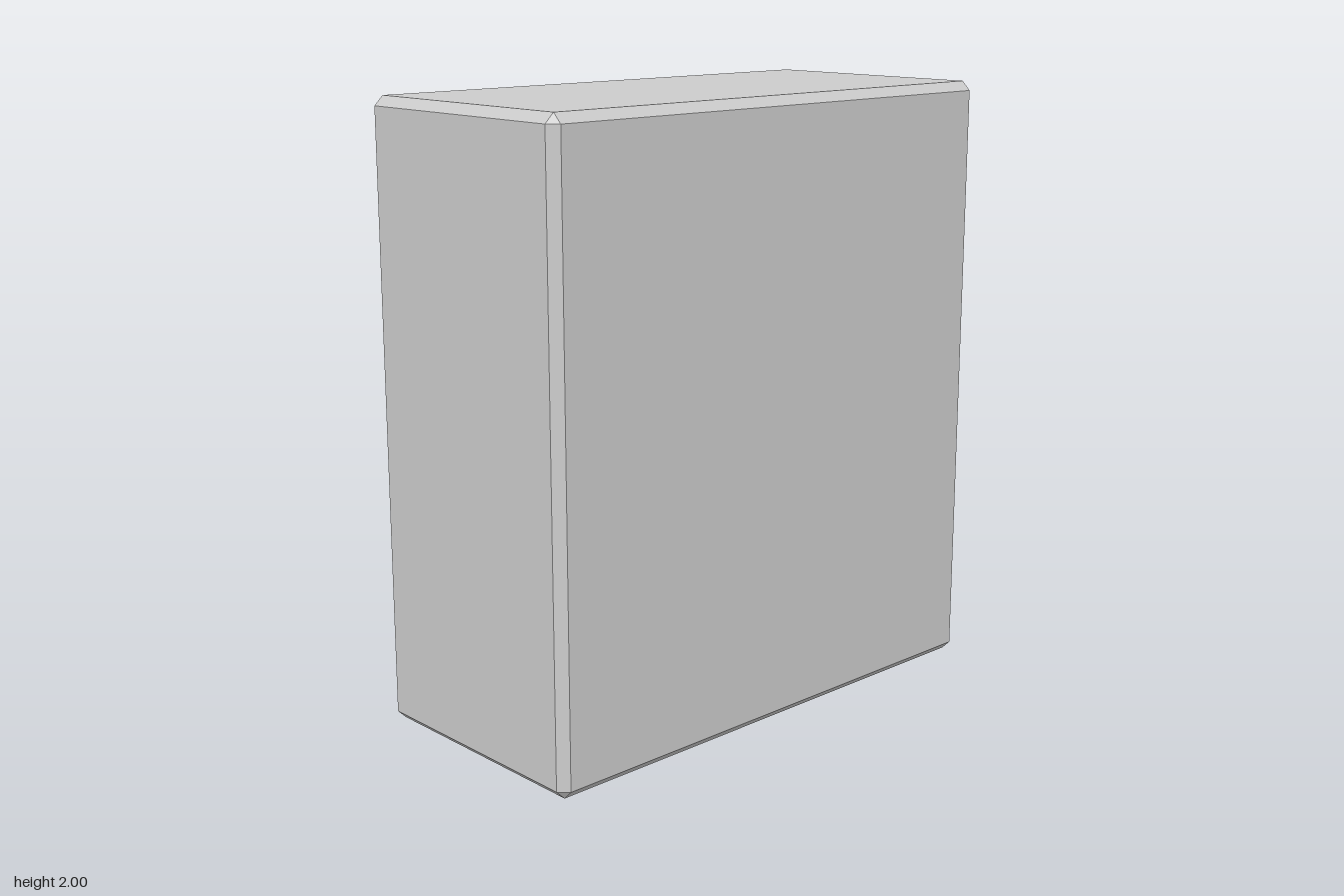
import * as THREE from 'three';
import { ConvexGeometry } from 'three/addons/geometries/ConvexGeometry.js';

const casing = new THREE.MeshStandardMaterial({ color: 0xcccccc });
casing.name = 'light grey';

function add(parent, name, geometry, x = 0, y = 0, z = 0) {
  const mesh = new THREE.Mesh(geometry, casing);
  mesh.name = name;
  mesh.position.set(x, y, z);
  parent.add(mesh);
  return mesh;
}

// Box with every edge cut by a flat chamfer b
function chamferBox(w, h, d, b) {
  const half = [w / 2, h / 2, d / 2];
  const points = [];
  for (const sx of [-1, 1]) for (const sy of [-1, 1]) for (const sz of [-1, 1]) {
    const s = [sx, sy, sz];
    for (let axis = 0; axis < 3; axis++) {
      points.push(new THREE.Vector3(...s.map((v, i) => v * (half[i] - (i === axis ? 0 : b)))));
    }
  }
  return new ConvexGeometry(points);
}

// Chamfered block given by its extents
function block(parent, name, [x0, x1], [y0, y1], [z0, z1], b) {
  const size = [x1 - x0, y1 - y0, z1 - z0];
  const geometry = b ? chamferBox(...size, b) : new THREE.BoxGeometry(...size);
  return add(parent, name, geometry, (x0 + x1) / 2, (y0 + y1) / 2, (z0 + z1) / 2);
}

export function createModel() {
  const model = new THREE.Group();
  model.name = 'vendingMachine';

  // Cabinet
  block(model, 'cabinet', [-0.905, 0.905], [0, 2], [-0.4, 0.465], 0.03);

  // Display window, payment panel with its screen, and dispenser flap
  block(model, 'displayWindow', [-0.82, 0.37], [0.555, 1.865], [-0.42, -0.37], 0.008);
  block(model, 'paymentPanel', [0.445, 0.79], [0.885, 1.615], [-0.43, -0.37], 0.01);
  block(model, 'paymentScreen', [0.49, 0.74], [1.43, 1.53], [-0.44, -0.42], 0);
  block(model, 'dispenserFlap', [-0.79, 0.335], [0.105, 0.41], [-0.45, -0.37], 0.01);

  // Shelves, each with a row of cans
  const canGeometry = new THREE.CylinderGeometry(0.042, 0.042, 0.16, 32);
  for (const y of [0.675, 1.066, 1.457]) {
    const shelf = new THREE.Group();
    shelf.name = 'shelfRow';
    model.add(shelf);
    block(shelf, 'shelf', [-0.775, 0.32], [y - 0.014, y + 0.014], [-0.465, -0.41], 0);
    for (let i = 0; i < 5; i++) {
      add(shelf, 'can', canGeometry, -0.665 + i * 0.2175, y + 0.123, -0.423);
    }
  }
  return model;
}
